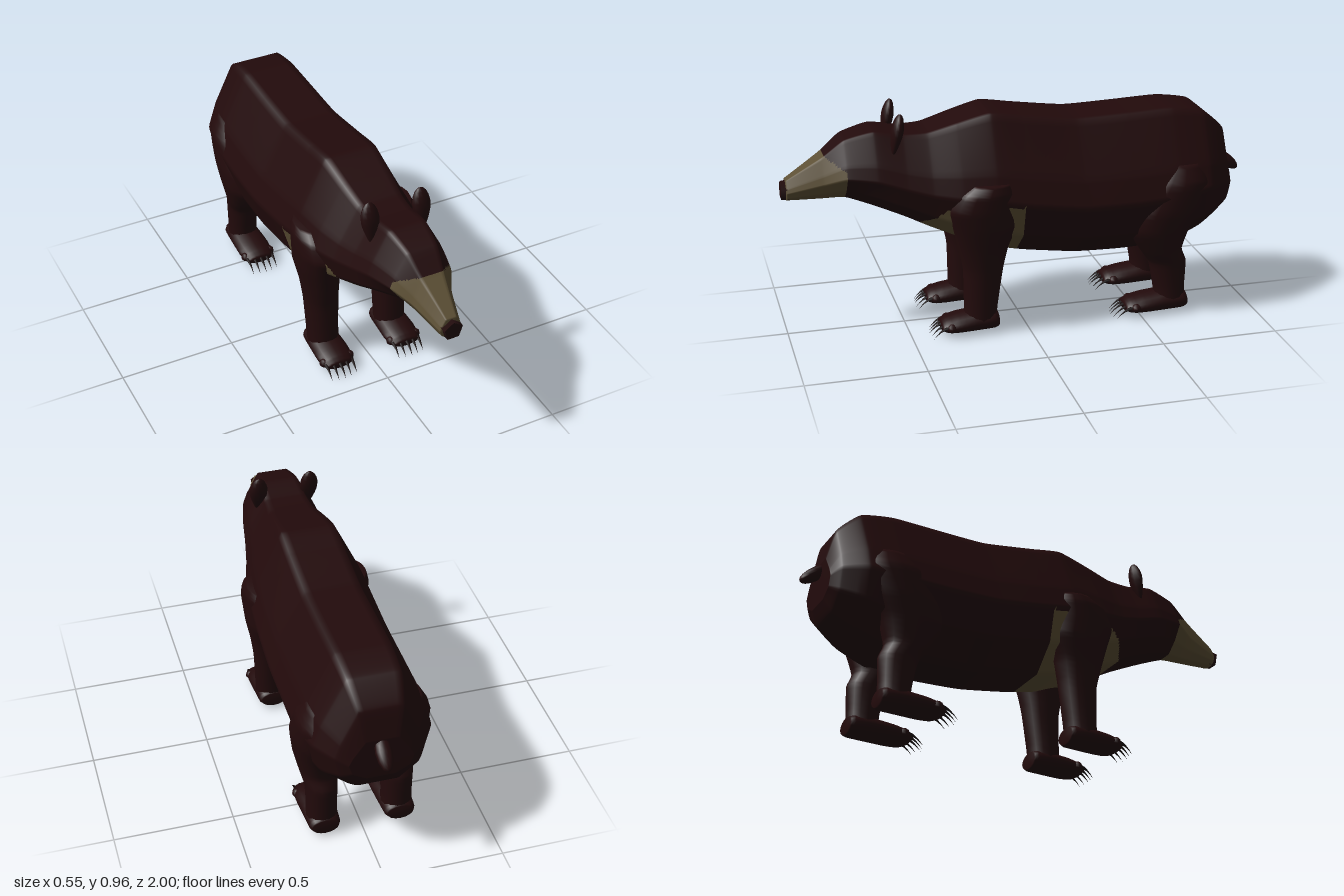
import * as THREE from 'three';

const material = (name, color) => {
  const m = new THREE.MeshStandardMaterial({ color });
  m.name = name;
  return m;
};

// Samples a smooth curve through rows of six numbers
function sampleRows(rows, steps) {
  const half = (k) => new THREE.CatmullRomCurve3(
    rows.map((r) => new THREE.Vector3(r[k], r[k + 1], r[k + 2])), false, 'catmullrom', 0.25);
  const a = half(0), b = half(3), out = [];
  for (let i = 0; i <= steps; i++) {
    out.push([...a.getPoint(i / steps).toArray(), ...b.getPoint(i / steps).toArray()]);
  }
  return out;
}

// Skins closed rings, with both ends capped; pale(x, y, z) picks the second material
function loft(rings, pale = () => false) {
  const n = rings[0].length, pos = [], groups = [[], []];
  rings.forEach((ring) => ring.forEach((p) => pos.push(...p)));
  const add = (...tri) => {
    const c = [0, 1, 2].map((k) => tri.reduce((s, v) => s + pos[v * 3 + k], 0) / 3);
    groups[pale(...c) ? 1 : 0].push(...tri);
  };
  const ends = [rings[0], rings[rings.length - 1]].map((ring) => {
    pos.push(...[0, 1, 2].map((k) => ring.reduce((s, p) => s + p[k], 0) / n));
    return pos.length / 3 - 1;
  });
  for (let j = 0; j < n; j++) {
    const k = (j + 1) % n, last = (rings.length - 1) * n;
    for (let i = 0; i < rings.length - 1; i++) {
      const a = i * n + j, b = i * n + k;
      add(a, b, a + n);
      add(b, b + n, a + n);
    }
    add(ends[0], k, j);
    add(ends[1], last + j, last + k);
  }
  const g = new THREE.BufferGeometry();
  g.setAttribute('position', new THREE.Float32BufferAttribute(pos, 3));
  g.setIndex([...groups[0], ...groups[1]]);
  g.addGroup(0, groups[0].length, 0);
  g.addGroup(groups[0].length, groups[1].length, 1);
  g.computeVertexNormals();
  return g;
}

const ringAngles = (n) => Array.from({ length: n }, (_, j) => (j / n) * Math.PI * 2);

// Ten-sided body section with flat top and bottom, each side cut into short steps
function bodyRing([z, top, bottom, w, flatTop, flatLow]) {
  const right = [[flatLow, -1], [Math.min(0.88, 0.3 + flatLow * 1.35), -0.65], [1, -0.15],
    [flatTop + (1 - flatTop) * 0.76, 0.22], [flatTop, 1]];
  const corners = [...right, ...right.map(([x, y]) => [-x, y]).reverse()];
  const cuts = 8, ring = [];
  corners.forEach(([x, y], i) => {
    const [nx, ny] = corners[(i + 1) % corners.length];
    for (let c = 0; c < cuts; c++) {
      const t = c / cuts;
      ring.push([w * (x + (nx - x) * t), (top + bottom) / 2 + ((top - bottom) / 2) * (y + (ny - y) * t), z]);
    }
  });
  return ring;
}

// Oval rings along z from rows [z, top, bottom, half width, 0, 0]
const ringsAlongZ = (rows, steps, n) => sampleRows(rows, steps).map(([z, top, bottom, w]) =>
  ringAngles(n).map((t) => [w * Math.cos(t), (top + bottom) / 2 + ((top - bottom) / 2) * Math.sin(t), z]));

// Oval rings along y from rows [y, centre x, centre z, half x, half z, 0]
const ringsAlongY = (rows, steps, n, side) => sampleRows(rows, steps).map(([y, cx, cz, rx, rz]) =>
  ringAngles(n).map((t) => [side * cx + rx * Math.cos(t), y, cz - rz * Math.sin(t)]));

// Rows of [z, top, bottom, half width, flat top share, flat bottom share]
const BODY = [
  [-0.918, 0.66, 0.48, 0.13, 0.5, 0.45],
  [-0.885, 0.79, 0.42, 0.18, 0.48, 0.45],
  [-0.79, 0.875, 0.355, 0.24, 0.44, 0.42],
  [-0.65, 0.897, 0.3, 0.265, 0.42, 0.4],
  [-0.45, 0.89, 0.287, 0.27, 0.42, 0.4],
  [-0.23, 0.885, 0.293, 0.27, 0.42, 0.4],
  [0, 0.915, 0.325, 0.265, 0.43, 0.4],
  [0.14, 0.935, 0.355, 0.257, 0.44, 0.4],
  [0.28, 0.9, 0.41, 0.237, 0.44, 0.42],
  [0.4, 0.867, 0.465, 0.207, 0.45, 0.45],
  [0.5, 0.865, 0.515, 0.187, 0.46, 0.45],
  [0.62, 0.885, 0.565, 0.167, 0.48, 0.38],
  [0.74, 0.855, 0.605, 0.135, 0.48, 0.26],
  [0.83, 0.785, 0.605, 0.088, 0.55, 0.3],
  [0.98, 0.69, 0.607, 0.045, 0.5, 0.42],
];

const FRONT_LEG = [
  [0.05, 0.16, 0.205, 0.068, 0.07, 0],
  [0.12, 0.16, 0.2, 0.068, 0.072, 0],
  [0.28, 0.162, 0.19, 0.073, 0.085, 0],
  [0.38, 0.168, 0.19, 0.08, 0.107, 0],
  [0.48, 0.182, 0.183, 0.086, 0.138, 0],
  [0.56, 0.195, 0.195, 0.08, 0.145, 0],
  [0.63, 0.2, 0.18, 0.075, 0.125, 0],
  [0.67, 0.195, 0.16, 0.066, 0.085, 0],
];

const HIND_LEG = [
  [0.05, 0.16, -0.64, 0.066, 0.068, 0],
  [0.12, 0.16, -0.638, 0.064, 0.07, 0],
  [0.23, 0.16, -0.628, 0.068, 0.083, 0],
  [0.29, 0.162, -0.597, 0.08, 0.092, 0],
  [0.39, 0.172, -0.58, 0.093, 0.138, 0],
  [0.48, 0.184, -0.605, 0.09, 0.155, 0],
  [0.6, 0.188, -0.66, 0.08, 0.14, 0],
  [0.68, 0.18, -0.68, 0.045, 0.08, 0],
];

const FOOT = [
  [0.13, 0.085, 0.018, 0.055, 0, 0],
  [0.15, 0.098, 0.01, 0.066, 0, 0],
  [0.22, 0.1, 0.008, 0.072, 0, 0],
  [0.3, 0.088, 0.008, 0.076, 0, 0],
  [0.35, 0.075, 0.012, 0.07, 0, 0],
  [0.375, 0.058, 0.025, 0.055, 0, 0],
];

// Tapered claw that curls down as it reaches forward
function clawGeometry() {
  const g = new THREE.ConeGeometry(0.012, 0.08, 6, 5);
  g.rotateX(Math.PI / 2);
  const p = g.attributes.position;
  for (let i = 0; i < p.count; i++) {
    const t = p.getZ(i) / 0.08 + 0.5;
    p.setY(i, p.getY(i) + 0.02 * t - 0.064 * t * t);
  }
  g.computeVertexNormals();
  return g;
}

// Rounded ear that narrows towards its root
function earGeometry() {
  const g = new THREE.SphereGeometry(1, 12, 10);
  const p = g.attributes.position;
  for (let i = 0; i < p.count; i++) {
    const k = 1 - 0.45 * Math.max(0, 0.2 - p.getY(i));
    p.setXYZ(i, p.getX(i) * k * 0.042, p.getY(i) * 0.09, p.getZ(i) * k * 0.027);
  }
  g.computeVertexNormals();
  return g;
}

export function createModel() {
  const fur = material('dark fur', 0x220a0b);
  const tan = material('tan fur', 0x5c4f34);
  const horn = material('claw', 0x140909);
  const root = new THREE.Group();
  root.name = 'bear';
  const add = (parent, name, geometry, mat, x = 0, y = 0, z = 0) => {
    const m = new THREE.Mesh(geometry, mat);
    m.name = name;
    m.position.set(x, y, z);
    parent.add(m);
    return m;
  };

  // Body, neck and head, with a tan muzzle and chest patch
  const pale = (x, y, z) => z > 0.74 + Math.max(0, y - 0.74) * 1.6
    || (z > 0.03 && z < 0.46 && y < Math.min(0.57, 0.48 + (0.45 - z) * 0.85));
  add(root, 'body', loft(sampleRows(BODY, 238).map(bodyRing), pale), [fur, tan]);

  // Five-sided nose
  const nose = new THREE.CylinderGeometry(0.041, 0.045, 0.034, 5).rotateX(Math.PI / 2).rotateZ(Math.PI);
  add(root, 'nose', nose, fur, 0, 0.646, 0.983);

  // Tail
  const tail = add(root, 'tail', new THREE.SphereGeometry(1, 12, 10), fur, 0, 0.615, -0.937);
  tail.scale.set(0.034, 0.028, 0.078);
  tail.rotation.x = -0.65;

  const footGeo = loft(ringsAlongZ(FOOT, 15, 16));
  const clawGeo = clawGeometry();
  const earGeo = earGeometry();
  const toeGeo = new THREE.SphereGeometry(0.02, 8, 6);

  for (const side of [1, -1]) {
    const label = side > 0 ? 'left' : 'right';

    // Ear
    add(root, `${label} ear`, earGeo, fur, side * 0.113, 0.878, 0.533).rotation.x = -0.2;

    for (const [end, rows] of [['front', FRONT_LEG], ['hind', HIND_LEG]]) {
      // Leg
      add(root, `${label} ${end} leg`, loft(ringsAlongY(rows, 28, 14, side)), [fur, tan]);

      // Foot with five toes and claws
      const paw = new THREE.Group();
      paw.name = `${label} ${end} paw`;
      paw.position.set(side * 0.16, 0, end === 'front' ? 0 : -0.857);
      paw.scale.z = end === 'front' ? 1 : 1.13;
      root.add(paw);
      add(paw, 'foot', footGeo, [fur, tan]);
      for (let i = -2; i <= 2; i++) {
        const back = 0.006 * Math.abs(i);
        add(paw, 'claw', clawGeo, horn, i * 0.029, 0.046, 0.388 - back);
        add(paw, 'toe', toeGeo, fur, i * 0.03, 0.045, 0.35 - back);
      }
    }
  }
  return root;
}
